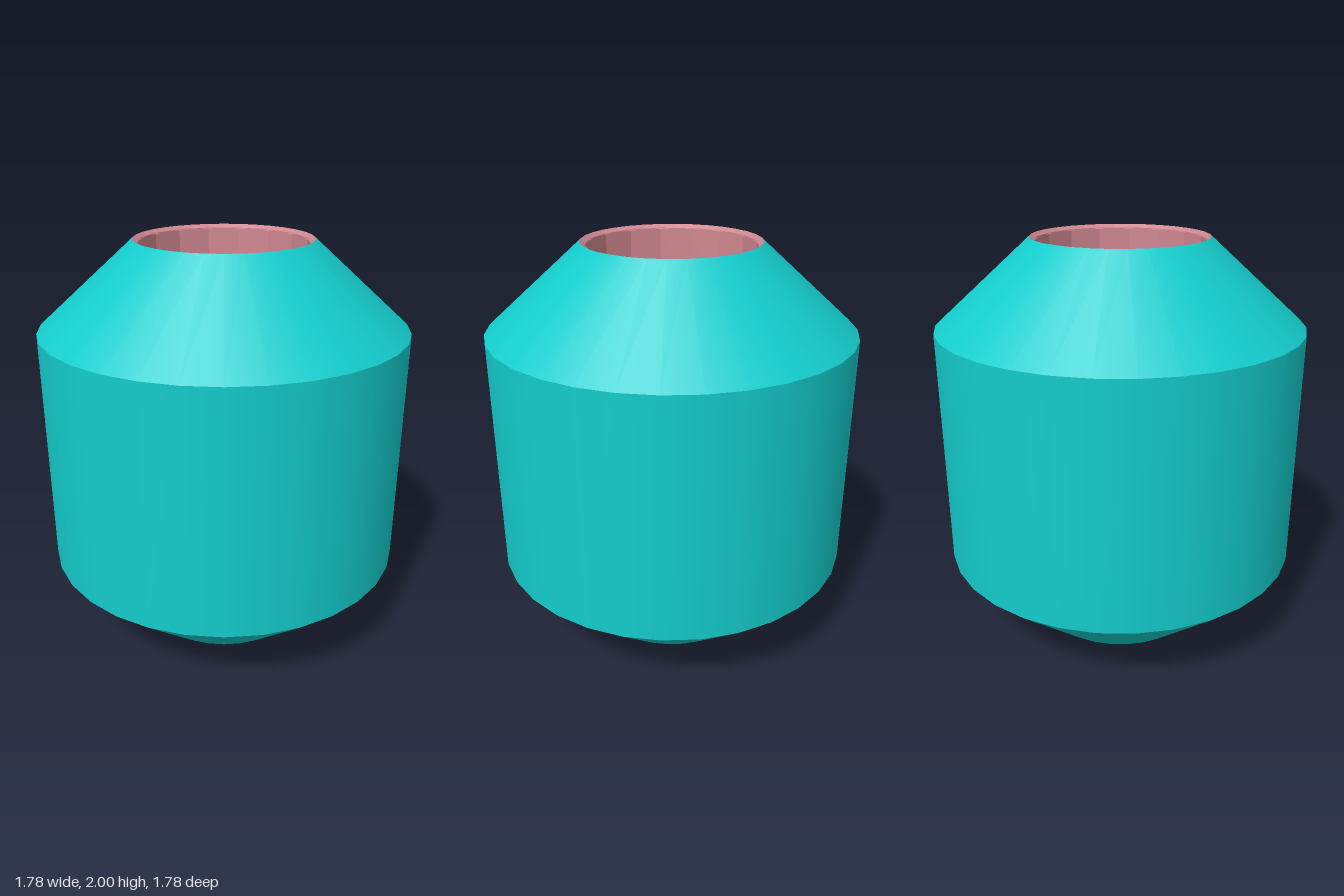
import * as THREE from 'three';

const TEAL = 0x14cccc, PINK = 0xd08790, GREY = 0xcccccc;

function material(color, flat = false) {
  return new THREE.MeshStandardMaterial({ color, flatShading: flat, side: THREE.DoubleSide });
}

// Open tube or cone band between two heights
function band(name, rBottom, rTop, y0, y1, sides, mat, turn = 0) {
  const geo = new THREE.CylinderGeometry(rTop, rBottom, y1 - y0, sides, 1, true, turn);
  const mesh = new THREE.Mesh(geo, mat);
  mesh.name = name;
  mesh.position.y = (y0 + y1) / 2;
  return mesh;
}

export function createModel() {
  const group = new THREE.Group();
  group.name = 'bead';
  const teal = material(TEAL), pink = material(PINK, true), grey = material(GREY);
  const R = 0.89, rHole = 0.425, rBore = 0.403, low = 0.415, high = 1.585;
  const half = Math.PI / 16; // flats of the 16-sided bore face the axes

  // Outer shell: two cones around a straight wall
  group.add(
    band('lowerCone', rHole, R, 0, low, 32, teal),
    band('outerWall', R, R, low, high, 32, teal),
    band('upperCone', R, rHole, high, 2, 32, teal),
  );

  // Bore: narrow bevelled rims and faceted end liners
  group.add(
    band('lowerRim', rHole, rBore - 0.004, 0, 0.02, 32, pink),
    band('upperRim', rBore - 0.004, rHole, 1.98, 2, 32, pink),
    band('lowerLiner', rBore, rBore, 0.015, low, 16, pink, half),
    band('upperLiner', rBore, rBore, high, 1.985, 16, pink, half),
  );

  // Inner core between the liners
  group.add(band('innerCore', 0.43, 0.43, low, high, 32, grey));

  // Thin, slightly bowed plate across the front of the core
  const outline = new THREE.Shape();
  outline.moveTo(-0.26, -0.34);
  outline.lineTo(0.26, -0.34);
  outline.lineTo(0.26, -0.325);
  outline.quadraticCurveTo(0, -0.305, -0.26, -0.325);
  outline.closePath();
  const plateGeo = new THREE.ExtrudeGeometry(outline, { depth: 0.4, bevelEnabled: false, curveSegments: 10 });
  plateGeo.rotateX(-Math.PI / 2);
  const plate = new THREE.Mesh(plateGeo, grey);
  plate.name = 'innerPlate';
  plate.position.y = 0.8;
  group.add(plate);

  // Small peg behind the plate
  const peg = new THREE.Mesh(new THREE.BoxGeometry(0.03, 0.06, 0.04), grey);
  peg.name = 'platePeg';
  peg.position.set(-0.15, 1, 0.345);
  group.add(peg);

  return group;
}
